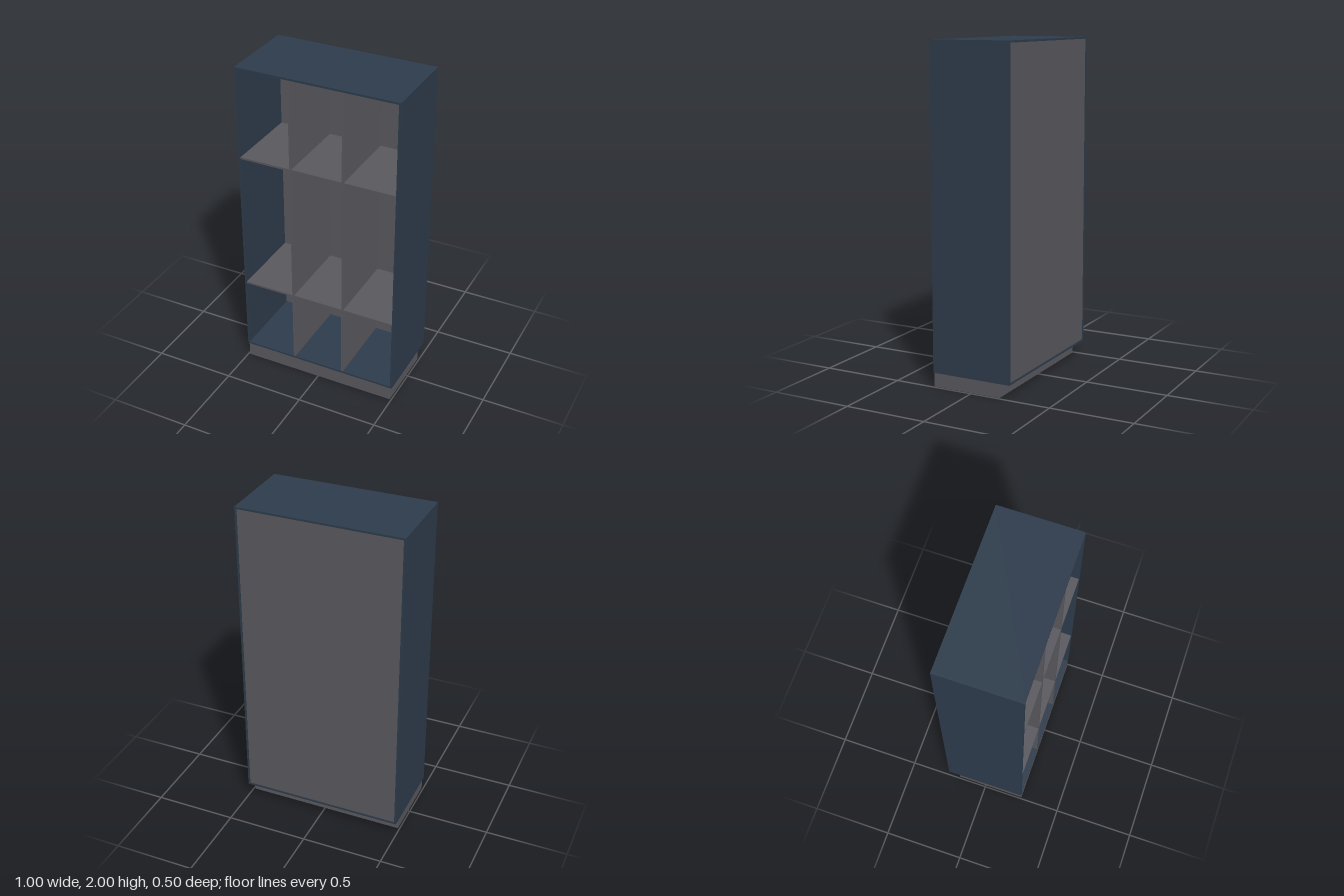
import * as THREE from 'three';

export function createModel() {
  const group = new THREE.Group();
  const blue = new THREE.MeshStandardMaterial({ color: 0x2e3c4c });
  blue.name = 'dark blue';
  const grey = new THREE.MeshStandardMaterial({ color: 0x59595f });
  grey.name = 'warm grey';

  // Box given by its lower and upper corners
  const panel = (name, material, [x0, y0, z0], [x1, y1, z1]) => {
    const mesh = new THREE.Mesh(new THREE.BoxGeometry(x1 - x0, y1 - y0, z1 - z0), material);
    mesh.position.set((x0 + x1) / 2, (y0 + y1) / 2, (z0 + z1) / 2);
    mesh.name = name;
    group.add(mesh);
  };

  const W = 0.5, D = 0.25, T = 0.012, base = 0.087, top = 2;
  const back = -D + 0.004, backInner = back + 0.008, front = D - 0.002;
  const inner = W - T;

  // Plinth, flush at the front and set back at the rear
  panel('plinth', grey, [-0.49, 0, -0.18], [0.49, base, D]);

  // Outer case
  panel('caseBottom', blue, [-inner, base, -D], [inner, base + T, D]);
  panel('caseTop', blue, [-inner, top - T, -D], [inner, top, D]);
  for (const [name, s] of [['leftSide', 1], ['rightSide', -1]]) {
    const x = s * (W - T / 2);
    panel(name, blue, [x - T / 2, base, -D], [x + T / 2, top, D]);
  }
  panel('backPanel', grey, [-inner, base + T, back], [inner, top - T, backInner]);

  // Upright dividers
  const divX = 0.165;
  for (const x of [-divX, divX]) {
    panel('divider', grey, [x - T / 2, base + T, backInner], [x + T / 2, top - T, front]);
  }

  // Shelves and a coat peg in each bay
  const bays = [[-inner, -divX - T / 2], [-divX + T / 2, divX - T / 2], [divX + T / 2, inner]];
  for (const [x0, x1] of bays) {
    for (const y of [0.56, 1.432]) {
      panel('shelf', grey, [x0, y - T / 2, backInner], [x1, y + T / 2, front]);
    }
    const peg = new THREE.Mesh(new THREE.CylinderGeometry(0.009, 0.009, 0.03, 16), grey);
    peg.rotation.x = Math.PI / 2;
    peg.position.set(Math.sign(Math.round((x0 + x1) * 10)) * 0.333, 1.515, backInner + 0.015);
    peg.name = 'coatPeg';
    group.add(peg);
  }

  return group;
}
